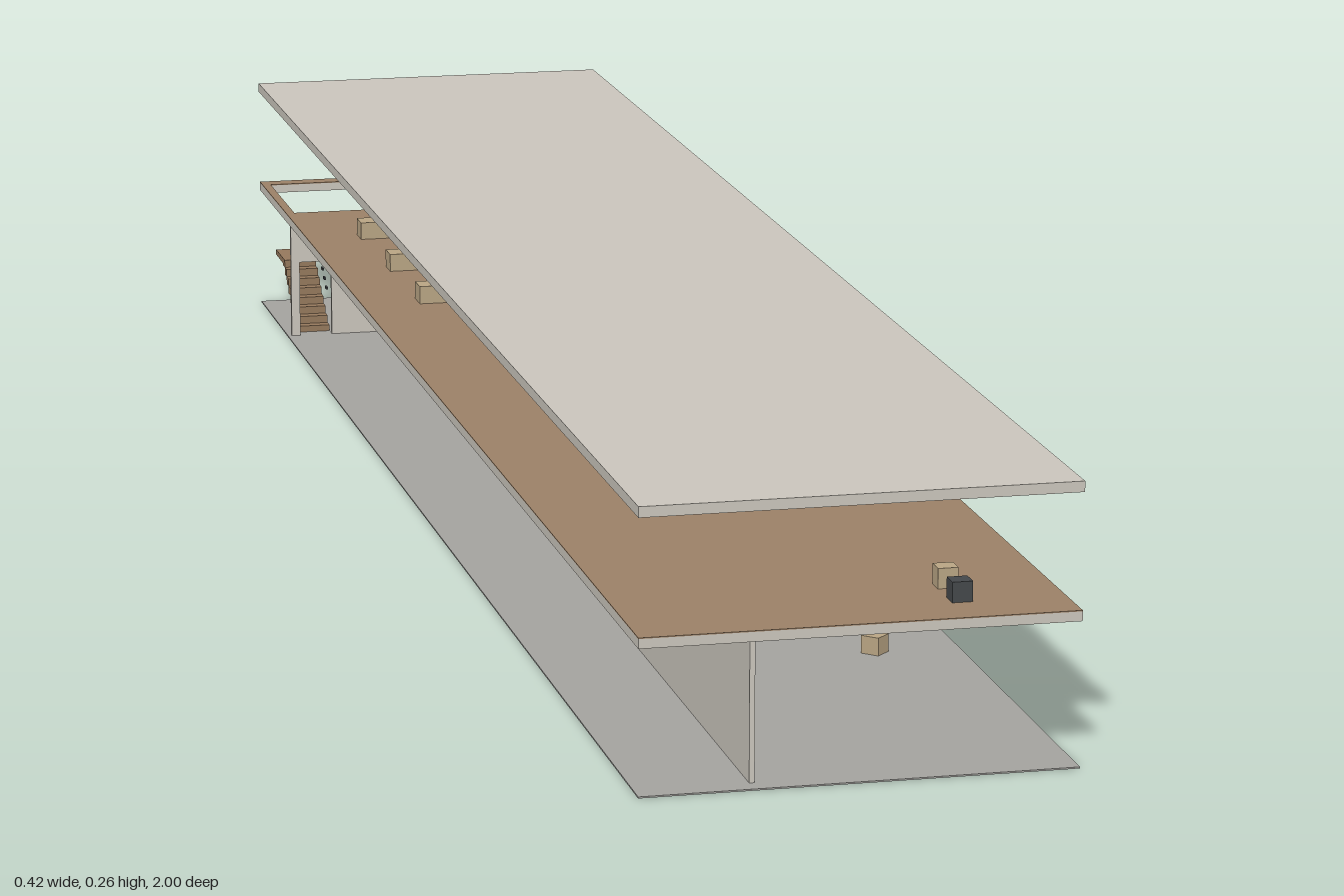
import * as THREE from 'three';

const TILT = 0.0085; // the whole building is turned very slightly
const colours = { concrete: 0xc9c4bb, ground: 0xa3a29e, wood: 0x9a8066, stairWood: 0x94785c, tan: 0xb8a483, charcoal: 0x44474a };

export function createModel() {
  const group = new THREE.Group();
  group.name = 'pavilion';
  group.rotation.y = -TILT;

  const mats = {};
  for (const [name, color] of Object.entries(colours)) {
    mats[name] = new THREE.MeshStandardMaterial({ color });
    mats[name].name = name;
  }

  const add = (name, geometry, mat) => {
    const mesh = new THREE.Mesh(geometry, mats[mat]);
    mesh.name = name;
    group.add(mesh);
    return mesh;
  };
  // box given by its ranges along x, y and z
  const box = (name, mat, x0, x1, y0, y1, z0, z1) => {
    const mesh = add(name, new THREE.BoxGeometry(x1 - x0, y1 - y0, z1 - z0), mat);
    mesh.position.set((x0 + x1) / 2, (y0 + y1) / 2, (z0 + z1) / 2);
    return mesh;
  };
  // block standing at a centre point
  const block = (name, mat, x, y, z, w, h, d) =>
    box(name, mat, x - w / 2, x + w / 2, y, y + h, z - d / 2, z + d / 2);

  const W = 0.2015, L = 0.998;

  // ground sheet and roof
  box('ground', 'ground', -W, W, 0, 0.0015, -L, L);
  box('roof', 'concrete', -W, W, 0.254, 0.264, -L, L);

  // upper floor with a stair opening in the back corner
  const floorShape = () => {
    const s = new THREE.Shape([[-W, -L], [W, -L], [W, L], [-W, L]].map(p => new THREE.Vector2(...p)));
    s.holes.push(new THREE.Path([[-0.192, 0.815], [-0.192, 0.978], [-0.1, 0.978], [-0.1, 0.815]].map(p => new THREE.Vector2(...p))));
    return s;
  };
  const layer = (name, mat, y, depth) => {
    const g = new THREE.ExtrudeGeometry(floorShape(), { depth, bevelEnabled: false });
    g.rotateX(-Math.PI / 2);
    add(name, g, mat).position.y = y;
  };
  layer('upperFloorSlab', 'concrete', 0.136, 0.009);
  layer('upperFloorBoards', 'wood', 0.145, 0.001);

  // long spine wall and two cross walls with doorways
  const H = 0.136;
  box('spineWall', 'concrete', -0.097, -0.092, 0.0015, H, -0.815, 0.98);
  const doorWall = (name, x0, x1, d0, d1, z) => {
    const s = new THREE.Shape([[x0, 0.0015], [d0, 0.0015], [d0, 0.088], [d1, 0.088], [d1, 0.0015], [x1, 0.0015], [x1, H], [x0, H]]
      .map(p => new THREE.Vector2(...p)));
    add(name, new THREE.ExtrudeGeometry(s, { depth: 0.005, bevelEnabled: false }), 'concrete').position.z = z;
  };
  doorWall('crossWall', -0.092, 0.182, -0.028, 0.009, -0.732);
  doorWall('stairWall', -0.197, -0.097, -0.187, -0.15, -0.817);

  // two flights of stairs joined by a landing
  const N = 8, rise = 0.0085, run = 0.0125, zStart = -0.828;
  for (let i = 0; i < N; i++) {
    const z = zStart - i * run;
    const y = i * rise;
    box('lowerStep', 'stairWood', -0.187, -0.15, y, y + rise, z - run, z);
    const zu = zStart - (N - 1 - i) * run;
    box('upperStep', 'stairWood', -0.143, -0.105, y + 0.068, y + 0.068 + rise, zu - run, zu);
    // short handrail pieces
    block('handrail', 'charcoal', -0.152, y + 0.05, z - run / 2, 0.002, 0.003, 0.008);
  }
  box('landing', 'stairWood', -0.187, -0.105, 0.062, 0.068, -0.976, zStart - N * run);
  box('stairRailing', 'charcoal', -0.1, -0.098, 0.146, 0.187, -0.976, -0.815);

  // upper floor furniture
  const F = 0.146;
  for (const z of [-0.335, -0.5, -0.67]) block('table', 'tan', -0.107 + z * TILT, F, z, 0.06, 0.019, 0.027);
  block('table', 'tan', 0.0415 - 0.335 * TILT, F, -0.335, 0.062, 0.019, 0.027);
  for (const z of [-0.51, -0.555, -0.602, -0.65, -0.694]) block('seat', 'charcoal', 0.175 + z * TILT, F, z, 0.019, 0.019, 0.019);
  block('frontSeat', 'charcoal', 0.105, F, 0.94, 0.019, 0.019, 0.019);
  block('frontTable', 'tan', 0.105, F, 0.893, 0.019, 0.019, 0.019);

  // turned cubes on the ground floor
  for (const [x, z] of [[0.1135, 0.605], [-0.031, -0.04], [-0.025, -0.145], [-0.018, -0.215]]) {
    block('groundStool', 'tan', x + z * TILT, 0.0015, z, 0.019, 0.0175, 0.019).rotation.y = Math.PI / 4;
  }
  return group;
}
